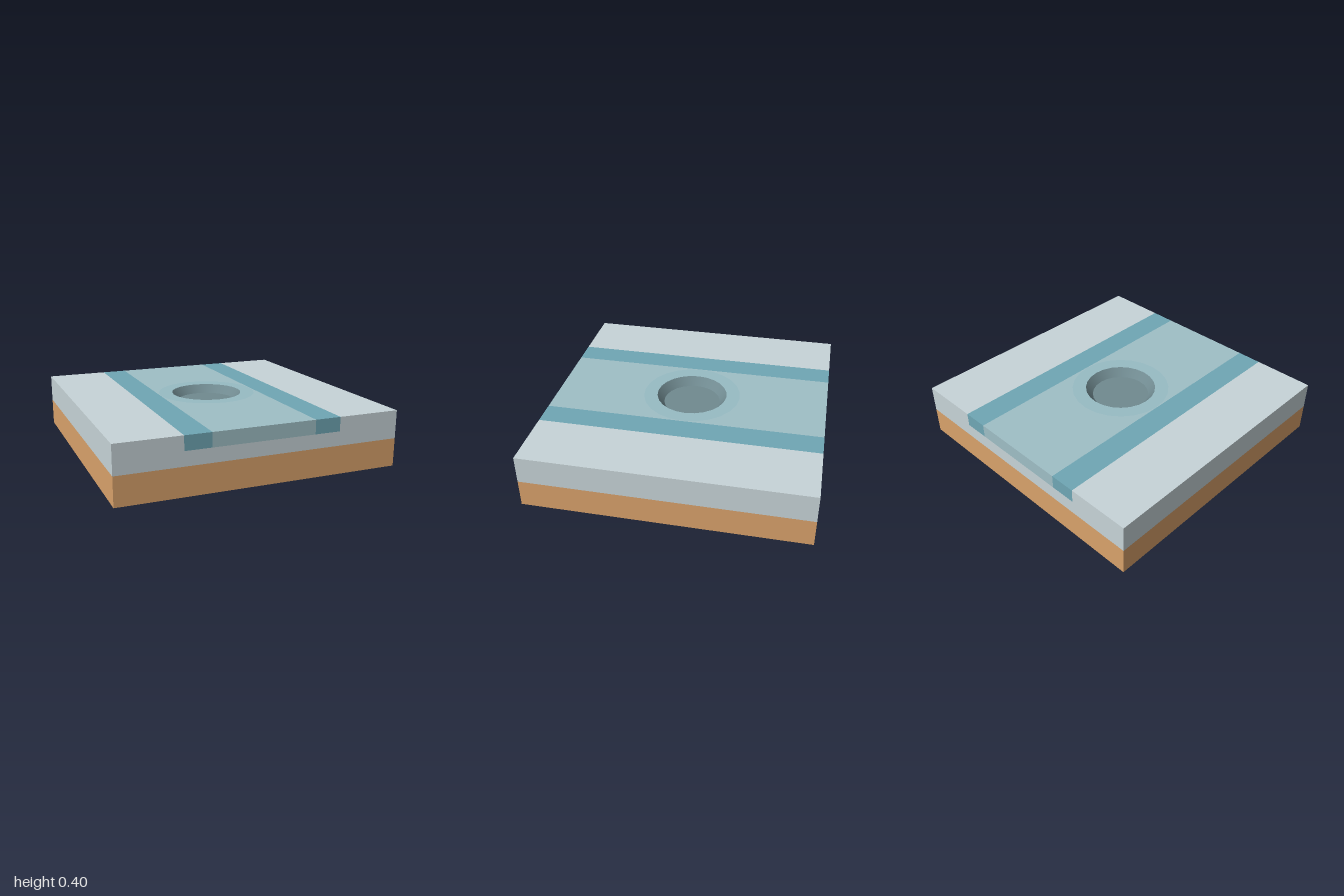
import * as THREE from 'three';

const PALE = 0xc7d4d8, MID = 0x9fbfc6, DEEP = 0x6fa7b5, RING = 0x97bcc4, PIT = 0x708a90, EARTH = 0xd9a26b;
const SEGMENTS = 24;

export function createModel() {
  const model = new THREE.Group();

  function add(name, geometry, color) {
    const mesh = new THREE.Mesh(geometry, new THREE.MeshStandardMaterial({ color }));
    mesh.name = name;
    model.add(mesh);
    return mesh;
  }

  // Full-length slab between two x and two y values
  function slab(name, x0, x1, y0, y1, color) {
    add(name, new THREE.BoxGeometry(x1 - x0, y1 - y0, 2), color)
      .position.set((x0 + x1) / 2, (y0 + y1) / 2, 0);
  }

  // Turned surface, listed from outside to inside so that it faces up
  function turned(name, points, color) {
    add(name, new THREE.LatheGeometry(points.map(p => new THREE.Vector2(...p)), SEGMENTS), color);
  }

  // Ground layer and the lower part of the pale layer
  slab('groundLayer', -1, 1, 0, 0.2, EARTH);
  slab('paleLayer', -1, 1, 0.2, 0.3, PALE);

  // Pale banks and darker edge strips, mirrored about the channel
  for (const [side, s] of [['left', 1], ['right', -1]]) {
    const span = (a, b) => (s > 0 ? [a, b] : [-b, -a]);
    slab(side + 'Bank', ...span(0.55, 1), 0.3, 0.4, PALE);
    slab(side + 'Strip', ...span(0.365, 0.55), 0.3, 0.4, DEEP);
  }

  // Channel with a round opening for the pit
  const channel = new THREE.Shape([[-0.365, -1], [0.365, -1], [0.365, 1], [-0.365, 1]]
    .map(p => new THREE.Vector2(...p)));
  const opening = [];
  for (let i = 0; i < SEGMENTS; i++) {
    const a = (i / SEGMENTS) * Math.PI * 2;
    opening.push(new THREE.Vector2(Math.sin(a) * 0.36, Math.cos(a) * 0.36));
  }
  channel.holes.push(new THREE.Path(opening));
  const channelGeometry = new THREE.ExtrudeGeometry(channel, { depth: 0.1, bevelEnabled: false });
  channelGeometry.rotateX(-Math.PI / 2).translate(0, 0.3, 0);
  add('channel', channelGeometry, MID);

  // Pit: flat rim, sloping wall and sunken floor
  turned('pitRim', [[0.36, 0.4], [0.26, 0.4]], RING);
  turned('pitWall', [[0.26, 0.4], [0.21, 0.34]], PIT);
  turned('pitFloor', [[0.21, 0.34], [0, 0.34]], PIT);

  return model;
}
